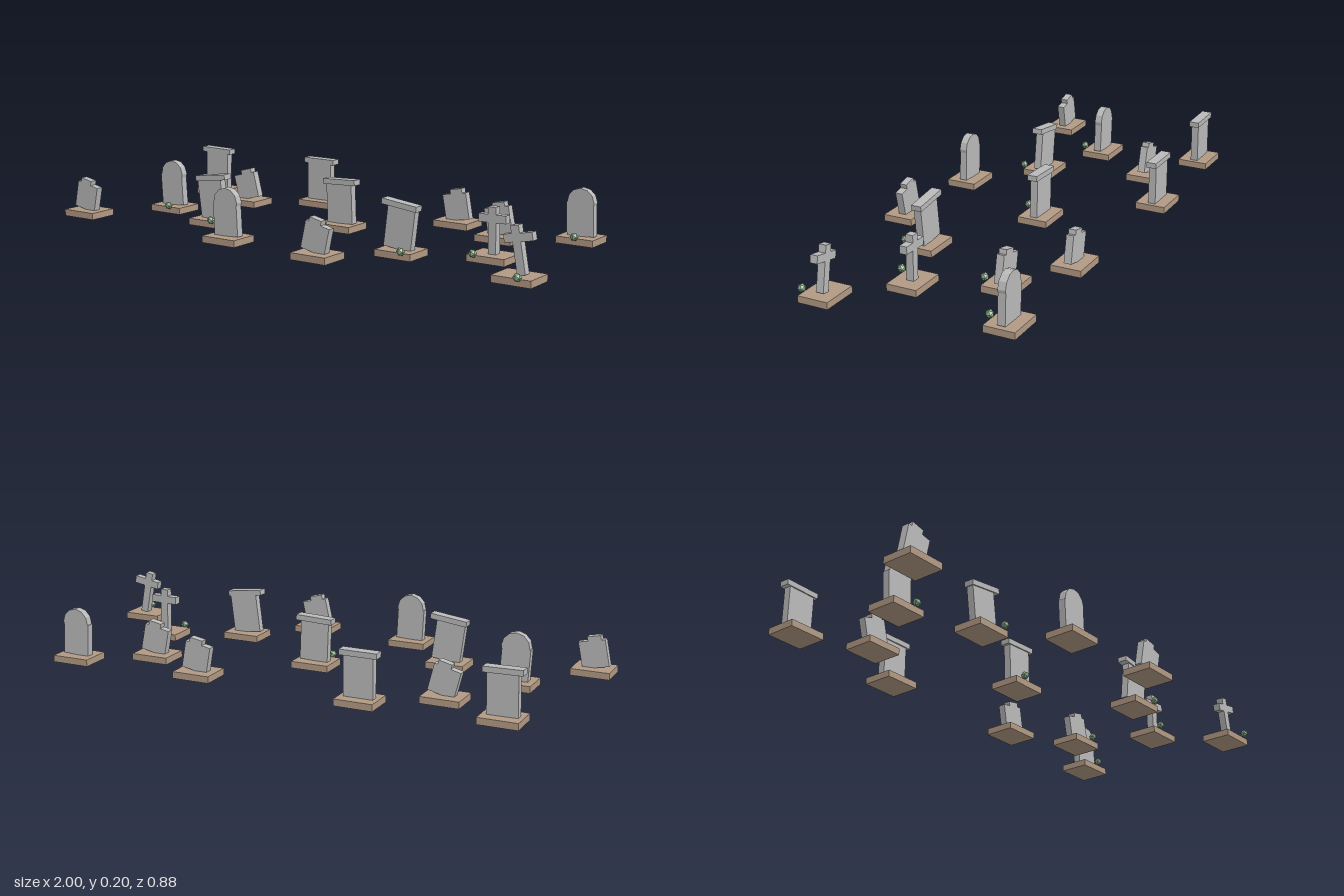
import * as THREE from 'three';

const stoneMat = new THREE.MeshStandardMaterial({ color: 0xbababa, flatShading: true });
stoneMat.name = 'grey stone';
const soilMat = new THREE.MeshStandardMaterial({ color: 0xb29a84, flatShading: true });
soilMat.name = 'brown earth';
const mossMat = new THREE.MeshStandardMaterial({ color: 0x8fb38c, flatShading: true });
mossMat.name = 'green moss';

const BASE_H = 0.025;
const DEPTH = 0.028;

function add(parent, name, geometry, material, x, y, z, tilt = 0) {
  const mesh = new THREE.Mesh(geometry, material);
  mesh.name = name;
  mesh.position.set(x, y, z);
  mesh.rotation.z = tilt;
  parent.add(mesh);
}

const box = (w, h, d) => new THREE.BoxGeometry(w, h, d);

// Headstone types; every block leans about its own centre
const builders = {
  // wide slab with an overhanging cap
  slab(g, tilt) {
    add(g, 'slab', box(0.11, 0.15, DEPTH), stoneMat, 0, BASE_H + 0.075, 0, tilt);
    add(g, 'slabCap', box(0.14, 0.02, 0.038), stoneMat, 0, 0.18, 0, tilt);
  },
  // upright with a half-round head
  rounded(g, tilt) {
    add(g, 'roundedBody', box(0.105, 0.12, DEPTH), stoneMat, 0, BASE_H + 0.06, 0, tilt);
    const head = new THREE.CylinderGeometry(0.0525, 0.0525, DEPTH, 12);
    head.rotateX(Math.PI / 2);
    add(g, 'roundedHead', head, stoneMat, 0, 0.146, 0, tilt);
  },
  // short broken stone with a remaining stub
  broken(g, tilt) {
    add(g, 'brokenBody', box(0.1, 0.1, DEPTH), stoneMat, 0, BASE_H + 0.05, 0, tilt);
    add(g, 'brokenStub', box(0.05, 0.03, DEPTH), stoneMat, 0, 0.128, 0, tilt);
  },
  // cross
  cross(g, tilt) {
    add(g, 'crossPost', box(0.03, 0.163, DEPTH), stoneMat, 0, BASE_H + 0.0815, 0, tilt);
    add(g, 'crossArm', box(0.105, 0.028, DEPTH), stoneMat, 0, 0.148, 0, tilt);
  },
};

// type, x, z, tilt, optional moss offset [x, z]
const graves = [
  ['broken', -0.928, 0.295, -0.2],
  ['slab', -0.81, -0.355, -0.02],
  ['rounded', -0.722, 0.029, 0.06, [0.026, 0.068]],
  ['broken', -0.561, -0.235, 0.25],
  ['slab', -0.428, 0.147, 0.13, [0.043, 0.068]],
  ['slab', -0.31, -0.385, 0],
  ['rounded', -0.193, 0.353, 0.05],
  ['slab', 0.013, -0.059, 0.04, [-0.036, 0.068]],
  ['broken', 0.219, 0.383, -0.22],
  ['broken', 0.337, -0.354, 0.18],
  ['slab', 0.425, 0.176, -0.12, [0.04, 0.068]],
  ['broken', 0.588, -0.224, 0.2, [0.02, 0.07]],
  ['cross', 0.719, 0.058, 0.02, [-0.042, 0.068]],
  ['rounded', 0.837, -0.369, 0.05, [0.005, 0.068]],
  ['cross', 0.9275, 0.264, 0.18, [0.03, 0.07]],
];

export function createModel() {
  const root = new THREE.Group();
  root.name = 'graveyard';
  for (const [type, x, z, tilt, moss] of graves) {
    const g = new THREE.Group();
    g.name = type + 'Grave';
    g.position.set(x, 0, z);
    add(g, 'plinth', box(0.145, BASE_H, 0.115), soilMat, 0, BASE_H / 2, 0);
    builders[type](g, tilt);
    if (moss) {
      add(g, 'mossClump', new THREE.IcosahedronGeometry(0.0155, 0), mossMat, moss[0], 0.033, moss[1]);
    }
    root.add(g);
  }
  return root;
}
